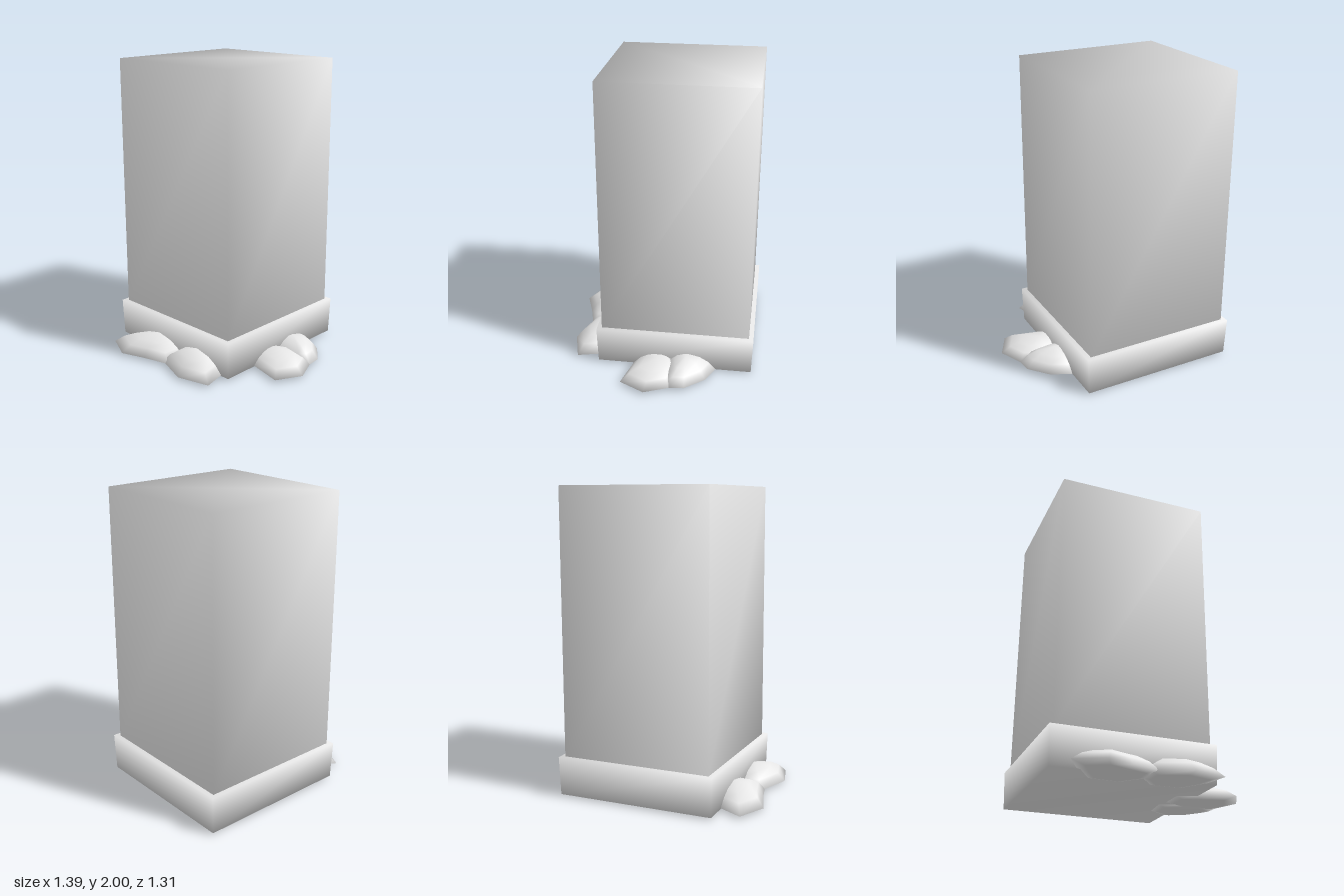
import * as THREE from 'three';
import { mergeVertices } from 'three/addons/utils/BufferGeometryUtils.js';

const stone = new THREE.MeshStandardMaterial({ color: 0xe7e7e7 });
stone.name = 'pale stone';

// Box with normals blended over its shared corners; the foot can be narrower
function softBlock(name, x0, x1, y0, y1, z0, z1, footScale = 1) {
  let geo = new THREE.BoxGeometry(x1 - x0, y1 - y0, z1 - z0);
  geo.deleteAttribute('normal');
  geo.deleteAttribute('uv');
  geo = mergeVertices(geo);
  const p = geo.attributes.position;
  for (let i = 0; i < p.count; i++) {
    if (p.getY(i) < 0) {
      p.setX(i, p.getX(i) * footScale);
      p.setZ(i, p.getZ(i) * footScale);
    }
  }
  geo.translate((x0 + x1) / 2, (y0 + y1) / 2, (z0 + z1) / 2);
  geo.computeVertexNormals();
  const mesh = new THREE.Mesh(geo, stone);
  mesh.name = name;
  return mesh;
}

// Low rock: rings shrinking from the [x, z] outline towards a peak and an underside
function rock(name, [px, pz], height, outline) {
  const rings = [[0.7, 0.003], [1, 0.018], [0.77, 0.018 + height * 0.4], [0.5, height * 0.8]];
  const n = outline.length;
  const positions = [];
  const index = [];
  for (const [s, y] of rings) {
    for (const [x, z] of outline) positions.push(px + (x - px) * s, y, pz + (z - pz) * s);
  }
  const bottom = rings.length * n;
  positions.push(px, 0, pz, px, height, pz);
  for (let i = 0; i < n; i++) {
    const j = (i + 1) % n;
    for (let r = 0; r < rings.length - 1; r++) {
      const a = r * n, b = a + n;
      index.push(a + i, a + j, b + j, a + i, b + j, b + i);
    }
    const top = (rings.length - 1) * n;
    index.push(top + i, top + j, bottom + 1, j, i, bottom);
  }
  const geo = new THREE.BufferGeometry();
  geo.setAttribute('position', new THREE.Float32BufferAttribute(positions, 3));
  geo.setIndex(index);
  geo.computeVertexNormals();
  const mesh = new THREE.Mesh(geo, stone);
  mesh.name = name;
  return mesh;
}

export function createModel() {
  const group = new THREE.Group();
  group.name = 'stonePillar';

  // Square shaft on a slightly wider plinth
  group.add(softBlock('shaft', -0.667, 0.34, 0.255, 2, -0.627, 0.38));
  group.add(softBlock('plinth', -0.698, 0.372, 0.013, 0.265, -0.658, 0.412, 0.985));

  // Two rocks along the front
  group.add(rock('frontRightRock', [-0.3, 0.42], 0.134, [
    [-0.61, 0.56], [-0.42, 0.65], [-0.25, 0.59], [-0.07, 0.54],
    [-0.06, 0.38], [-0.2, 0.23], [-0.42, 0.24], [-0.53, 0.41],
  ]));
  group.add(rock('frontLeftRock', [0.08, 0.42], 0.14, [
    [-0.13, 0.53], [0.12, 0.62], [0.34, 0.56], [0.3, 0.4],
    [0.2, 0.25], [-0.02, 0.24], [-0.14, 0.38],
  ]));

  // Two rocks along the left side
  group.add(rock('sideBackRock', [0.4, -0.21], 0.13, [
    [0.57, -0.08], [0.62, -0.12], [0.61, -0.22], [0.5, -0.35],
    [0.37, -0.41], [0.22, -0.33], [0.2, -0.14], [0.38, -0.06],
  ]));
  group.add(rock('sideFrontRock', [0.43, -0.02], 0.112, [
    [0.37, 0.155], [0.6, 0.21], [0.69, 0.04], [0.62, -0.12],
    [0.42, -0.17], [0.22, -0.08], [0.22, 0.1],
  ]));
  return group;
}
